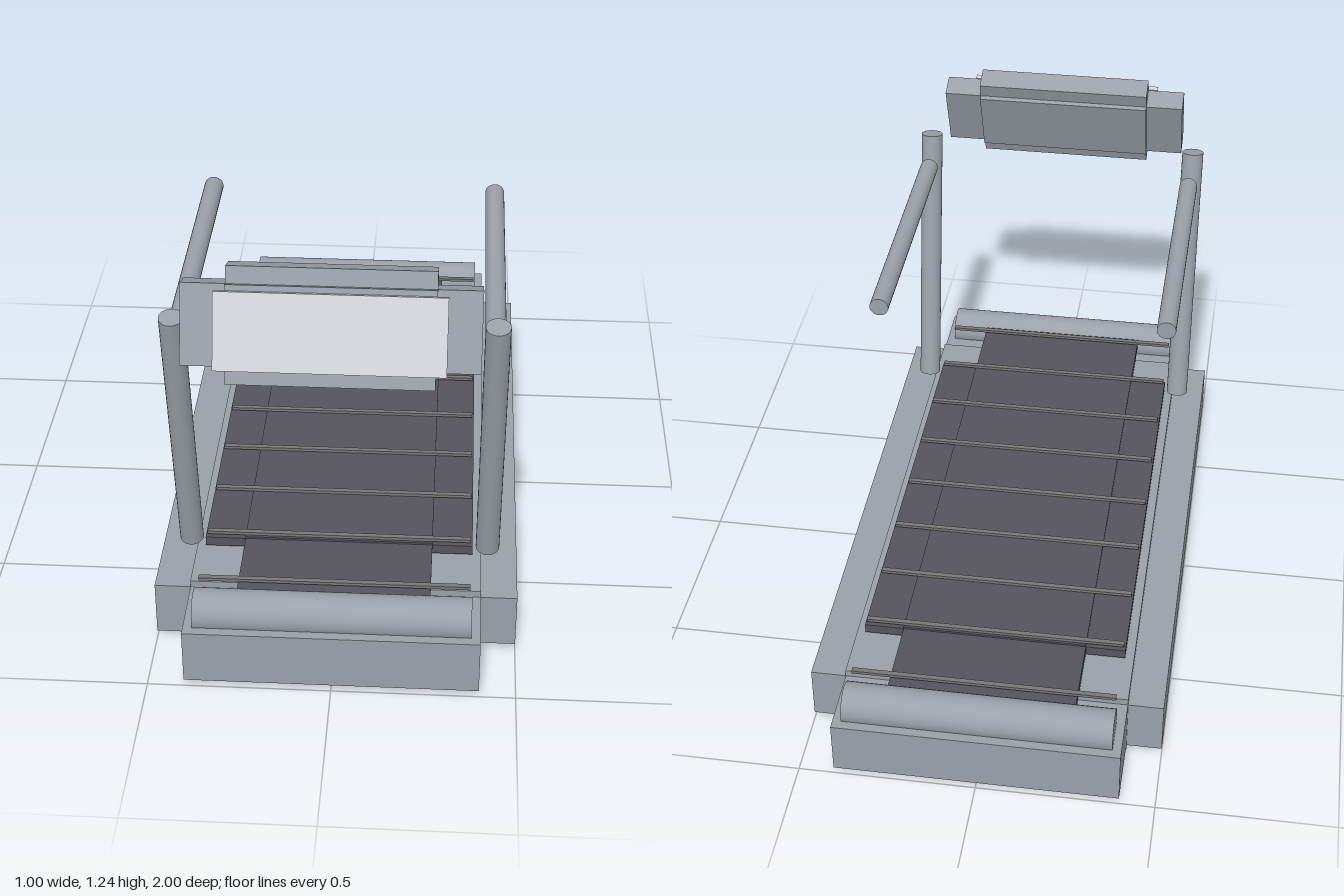
import * as THREE from 'three';

const mat = (name, color) => Object.assign(new THREE.MeshStandardMaterial({ color }), { name });

export function createModel() {
  const model = new THREE.Group();
  model.name = 'treadmill';
  const frameGrey = mat('frame grey', 0x9aa1a9);
  const beltDark = mat('belt dark grey', 0x55545d);
  const stripeGrey = mat('stripe grey', 0x77787a);
  const screenLight = mat('screen light grey', 0xd4d8dc);

  const add = (parent, name, geometry, material, x = 0, y = 0, z = 0, rx = 0) => {
    const mesh = new THREE.Mesh(geometry, material);
    mesh.name = name;
    mesh.position.set(x, y, z);
    mesh.rotation.x = rx;
    parent.add(mesh);
    return mesh;
  };

  // Stepped block: three crossing boxes, each full size along one axis only
  const steppedBlock = (name, size, k, material) => {
    const group = new THREE.Group();
    group.name = name;
    for (let axis = 0; axis < 3; axis++) {
      const s = size.map((v, i) => (i === axis ? v : v * k));
      add(group, name + 'Block', new THREE.BoxGeometry(...s), material);
    }
    model.add(group);
    return group;
  };

  // Base deck and running belt
  steppedBlock('base', [1, 0.2, 2], 0.8, frameGrey).position.y = 0.1;
  steppedBlock('belt', [0.75, 0.04, 1.84], 0.7, beltDark).position.y = 0.22;

  // Cross stripes along the belt
  const stripe = new THREE.BoxGeometry(0.74, 0.009, 0.015);
  for (let i = -4; i <= 4; i++) add(model, 'beltStripe', stripe, stripeGrey, 0, 0.2455, i * 0.21);

  // Rollers at both ends
  const roller = new THREE.CylinderGeometry(0.058, 0.058, 0.75, 32).rotateZ(Math.PI / 2);
  add(model, 'frontRoller', roller, frameGrey, 0, 0.202, 0.92);
  add(model, 'backRoller', roller, frameGrey, 0, 0.202, -0.92);

  // Leaning posts and handrails
  const post = new THREE.CylinderGeometry(0.033, 0.033, 0.835, 24);
  const rail = new THREE.CylinderGeometry(0.0275, 0.0275, 0.8, 24).rotateX(Math.PI / 2);
  for (const [side, s] of [['left', 1], ['right', -1]]) {
    add(model, side + 'Post', post, frameGrey, s * 0.417, 0.627, 0.702, 0.2);
    add(model, side + 'Handrail', rail, frameGrey, s * 0.413, 0.963, 0.3);
  }

  // Tilted console with its display panel
  const console3 = steppedBlock('console', [0.75, 0.3, 0.1], 0.7, frameGrey);
  console3.position.set(0, 1.083, 0.88);
  console3.rotation.x = -0.35;
  add(console3, 'screen', new THREE.BoxGeometry(0.58, 0.2, 0.015), screenLight, 0, -0.01, 0.058);

  return model;
}
